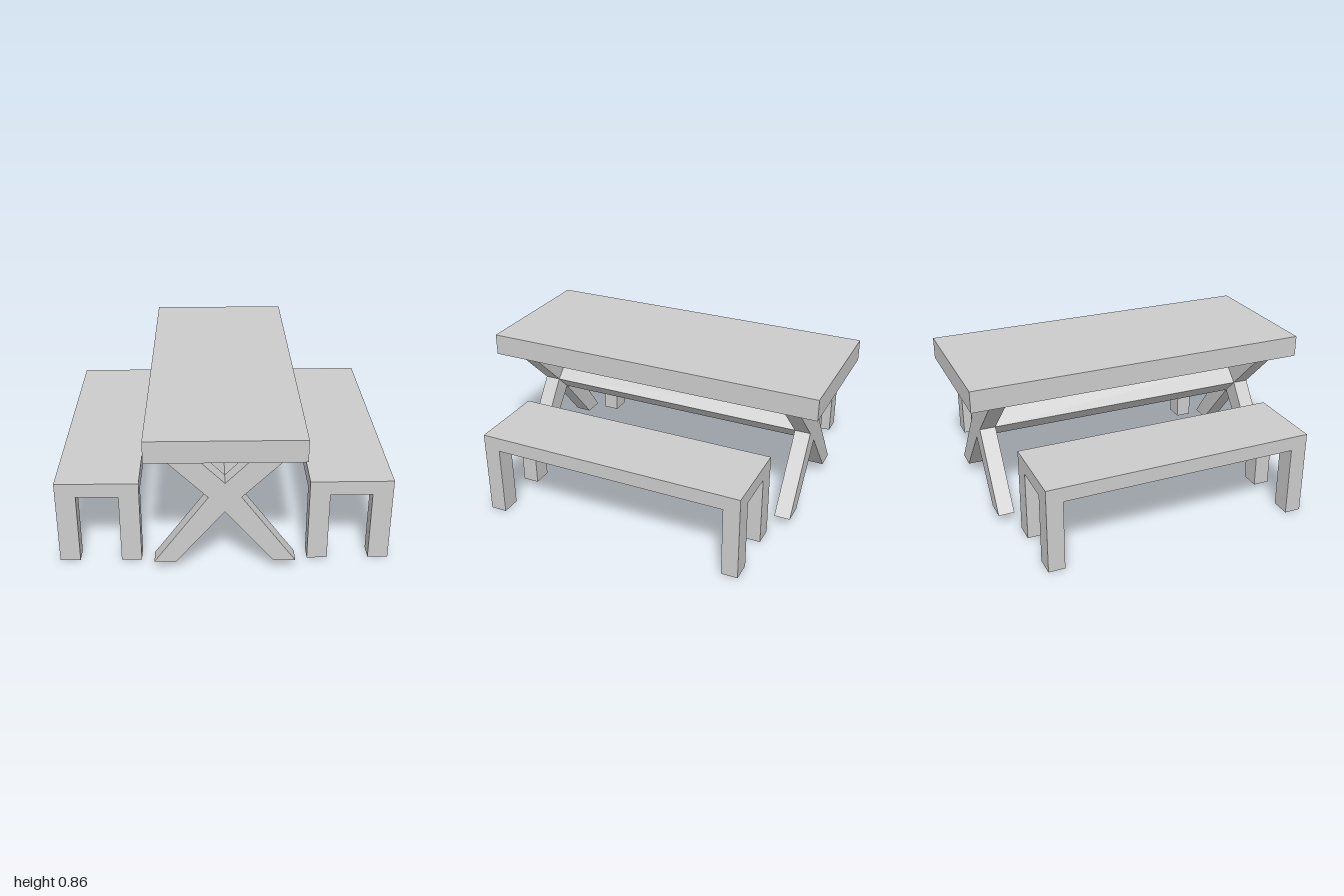
import * as THREE from 'three';

const material = new THREE.MeshStandardMaterial({ color: 0xcccccc, flatShading: true });

function box(name, w, h, d, x, y, z) {
  const mesh = new THREE.Mesh(new THREE.BoxGeometry(w, h, d), material);
  mesh.name = name;
  mesh.position.set(x, y, z);
  return mesh;
}

// Extrudes an outline in x/y along z, centred on z
function prism(name, points, depth, z) {
  const shape = new THREE.Shape(points.map(([x, y]) => new THREE.Vector2(x, y)));
  const geometry = new THREE.ExtrudeGeometry(shape, { depth, bevelEnabled: false });
  geometry.translate(0, 0, -depth / 2);
  const mesh = new THREE.Mesh(geometry, material);
  mesh.name = name;
  mesh.position.z = z;
  return mesh;
}

function createTable() {
  const table = new THREE.Group();
  table.name = 'table';
  table.add(box('tableTop', 0.832, 0.124, 2, 0, 0.802, 0));

  // Crossed legs: right half of the outline, then mirrored
  const half = [[0, 0.377], [0.265, 0.06], [0.385, 0.06], [0.088, 0.465], [0.367, 0.74], [0.19, 0.74], [0, 0.55]];
  const mirrored = half.slice(1, -1).reverse().map(([x, y]) => [-x, y]);
  const cross = [...half, ...mirrored];
  for (const s of [1, -1]) {
    table.add(prism(s > 0 ? 'frontCrossLegs' : 'backCrossLegs', cross, 0.092, s * 0.834));
  }

  // Diamond-section beam joining the two crossings
  table.add(prism('stretcherBeam', [[0, 0.377], [0.088, 0.465], [0, 0.55], [-0.088, 0.465]], 1.576, 0));
  return table;
}

function createBench(name, x) {
  const bench = new THREE.Group();
  bench.name = name;
  bench.position.x = x;
  bench.add(box('benchSeat', 0.454, 0.083, 1.546, 0, 0.449, 0));
  for (const sx of [1, -1]) {
    for (const sz of [1, -1]) {
      bench.add(box('benchLeg', 0.112, 0.4075, 0.094, sx * 0.171, 0.20375, sz * 0.726));
    }
  }
  return bench;
}

export function createModel() {
  const model = new THREE.Group();
  model.name = 'picnicTableSet';
  model.add(createTable(), createBench('leftBench', 0.689), createBench('rightBench', -0.689));
  return model;
}
